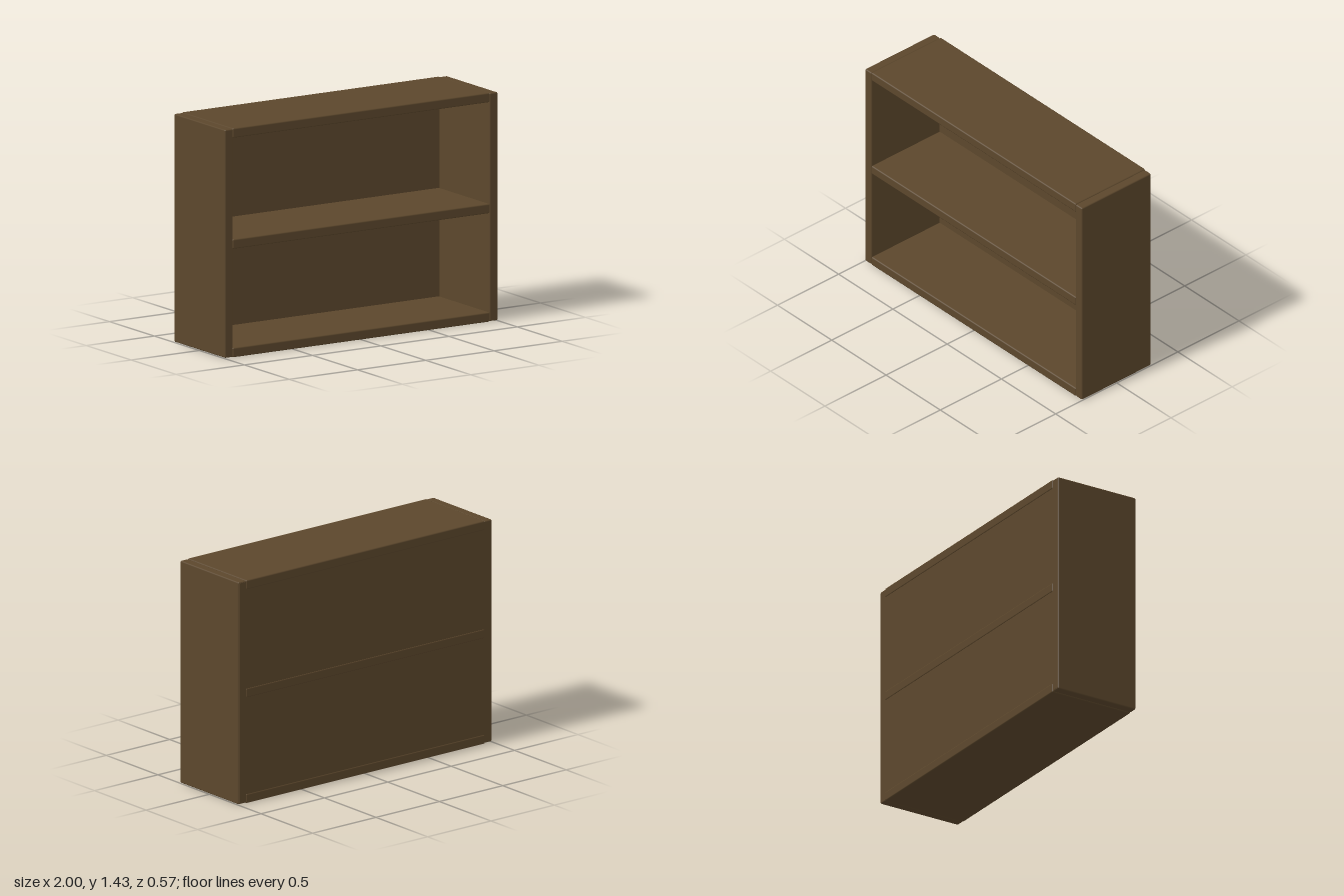
import * as THREE from 'three';
import { RoundedBoxGeometry } from 'three/addons/geometries/RoundedBoxGeometry.js';

const WIDTH = 2, HEIGHT = 1.434, DEPTH = 0.57, BOARD = 0.06, BEVEL = 0.008;

export function createModel() {
  const model = new THREE.Group();
  model.name = 'shelfUnit';
  const wood = new THREE.MeshStandardMaterial({ color: 0x5c472c });
  wood.name = 'dark brown wood';

  // A board with a narrow bevel on every edge
  function board(name, w, h, d, x, y, z) {
    const mesh = new THREE.Mesh(new RoundedBoxGeometry(w, h, d, 1, BEVEL), wood);
    mesh.name = name;
    mesh.position.set(x, y, z);
    model.add(mesh);
  }

  // Upright sides, a hair shorter and shallower than the shelves
  for (const [name, s] of [['leftSide', 1], ['rightSide', -1]]) {
    board(name, BOARD, HEIGHT - 0.006, DEPTH - 0.004, s * (WIDTH - BOARD) / 2, HEIGHT / 2, 0.002);
  }

  // Bottom, middle and top shelves run between the sides
  const shelves = [
    ['bottomShelf', BOARD / 2],
    ['middleShelf', 0.709],
    ['topShelf', HEIGHT - BOARD / 2],
  ];
  for (const [name, y] of shelves) {
    board(name, WIDTH - 2 * BOARD + 0.004, BOARD, DEPTH, 0, y, 0);
  }

  // Thin back panel, just inside the shelf ends
  const back = new THREE.Mesh(new THREE.BoxGeometry(WIDTH - 0.02, HEIGHT - 0.02, 0.01), wood);
  back.name = 'backPanel';
  back.position.set(0, HEIGHT / 2, -DEPTH / 2 + 0.0085);
  model.add(back);

  return model;
}
